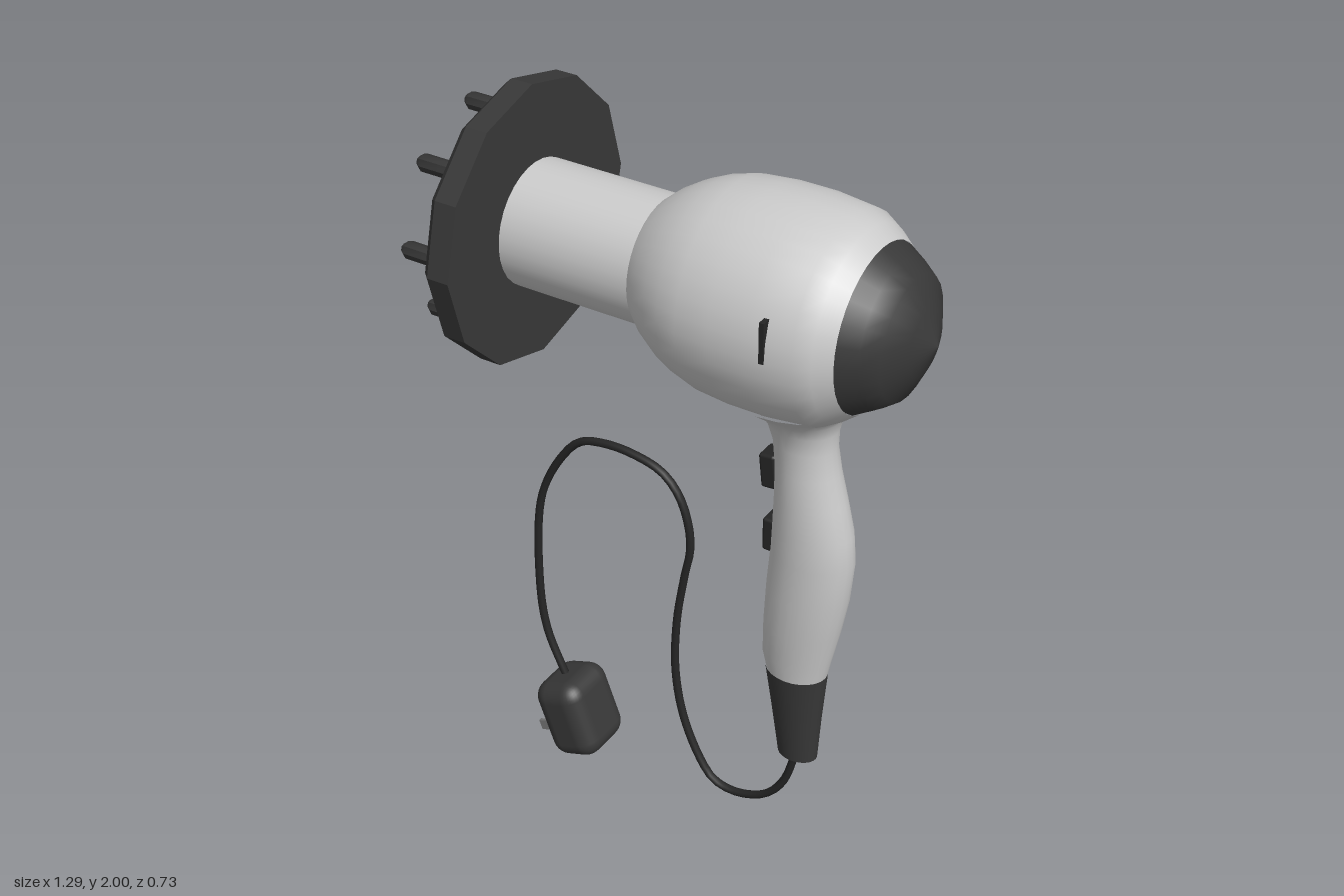
import * as THREE from 'three';
import { toCreasedNormals } from 'three/addons/utils/BufferGeometryUtils.js';
import { RoundedBoxGeometry } from 'three/addons/geometries/RoundedBoxGeometry.js';

const AXIS_Y = 1.64;
const grey = new THREE.MeshStandardMaterial({ color: 0xcccccc });
const dark = new THREE.MeshStandardMaterial({ color: 0x383838 });
const black = new THREE.MeshStandardMaterial({ color: 0x262626 });
const metal = new THREE.MeshStandardMaterial({ color: 0x777777 });

export function createModel() {
  const model = new THREE.Group();
  model.name = 'hairDryer';

  const add = (name, geometry, material, x = 0, y = 0, z = 0, parent = model) => {
    const mesh = new THREE.Mesh(geometry, material);
    mesh.name = name;
    mesh.position.set(x, y, z);
    parent.add(mesh);
    return mesh;
  };

  // Turned part along x; profile is [x, radius] from nozzle to rear
  const turned = (name, profile, material, sides, crease, y = AXIS_Y, z = 0) => {
    const pts = profile.map(([x, r]) => new THREE.Vector2(r, x));
    let geo = new THREE.LatheGeometry(pts, sides);
    geo.rotateZ(-Math.PI / 2);
    if (crease) geo = toCreasedNormals(geo, crease);
    return add(name, geo, material, 0, y, z);
  };

  // Loft of elliptical rings [y, xMin, xMax, halfDepth], listed bottom to top
  const loft = (name, rings, material, sides = 24) => {
    const pos = [], index = [];
    rings.forEach(([y, x0, x1, hz], i) => {
      for (let j = 0; j < sides; j++) {
        const a = (j / sides) * Math.PI * 2;
        pos.push((x0 + x1) / 2 + Math.cos(a) * (x1 - x0) / 2, y, Math.sin(a) * hz);
        if (i === 0) continue;
        const k = (j + 1) % sides, lo = (i - 1) * sides, hi = i * sides;
        index.push(lo + j, hi + j, lo + k, lo + k, hi + j, hi + k);
      }
    });
    // close the bottom
    const c = pos.length / 3;
    const [y, x0, x1] = rings[0];
    pos.push((x0 + x1) / 2, y, 0);
    for (let j = 0; j < sides; j++) index.push(c, j, (j + 1) % sides);
    const geo = new THREE.BufferGeometry();
    geo.setAttribute('position', new THREE.Float32BufferAttribute(pos, 3));
    geo.setIndex(index);
    return add(name, toCreasedNormals(geo, 0.7), material);
  };

  // Housing
  turned('barrel', [[-0.46, 0.162], [-0.085, 0.162]], grey, 32);
  turned('body', [[-0.085, 0.163], [-0.05, 0.193], [0, 0.224], [0.05, 0.246], [0.11, 0.263],
    [0.2, 0.271], [0.3, 0.271], [0.41, 0.26], [0.45, 0.237], [0.49, 0.207]], grey, 36);
  turned('rearCap', [[0.488, 0.207], [0.535, 0.18], [0.575, 0.152], [0.61, 0.082], [0.642, 0]], dark, 24);
  add('sideSlot', new THREE.BoxGeometry(0.012, 0.105, 0.03), black, 0.341, 1.69, 0.255);

  // Diffuser disc with a ring of pins around a central one
  turned('diffuserDisc', [[-0.53, 0], [-0.53, 0.345], [-0.51, 0.364], [-0.45, 0.364], [-0.45, 0]],
    dark, 12, 0.3);
  const pin = (y, z) => turned('diffuserPin',
    [[-0.645, 0], [-0.645, 0.012], [-0.63, 0.023], [-0.52, 0.023]], dark, 8, 0.6, y, z);
  pin(AXIS_Y, 0);
  for (let i = 0; i < 8; i++) {
    const a = (i / 8) * Math.PI * 2;
    pin(AXIS_Y + Math.sin(a) * 0.277, Math.cos(a) * 0.277);
  }

  // Curved handle flaring into the body
  loft('handle', [
    [0.565, 0.227, 0.391, 0.064], [0.62, 0.214, 0.402, 0.07], [0.72, 0.216, 0.424, 0.08],
    [0.83, 0.222, 0.444, 0.084], [0.95, 0.232, 0.455, 0.083], [1.03, 0.235, 0.448, 0.081],
    [1.12, 0.238, 0.427, 0.076], [1.2, 0.238, 0.407, 0.071], [1.27, 0.23, 0.396, 0.067],
    [1.32, 0.213, 0.397, 0.074], [1.355, 0.19, 0.404, 0.093], [1.385, 0.14, 0.425, 0.128],
    [1.42, 0.06, 0.48, 0.17],
  ], grey);
  loft('cordCuff', [[0.29, 0.264, 0.374, 0.04], [0.43, 0.245, 0.382, 0.053],
    [0.572, 0.224, 0.393, 0.067]], dark);

  // Switches on the nozzle side of the handle
  const upper = add('upperSwitch', new RoundedBoxGeometry(0.045, 0.095, 0.062, 2, 0.008), black, 0.226, 1.165, 0);
  upper.rotation.z = 0.1;
  add('lowerSwitch', new RoundedBoxGeometry(0.04, 0.095, 0.062, 2, 0.008), black, 0.234, 0.977, 0);

  // Cord
  const path = [[0.32, 0.31], [0.28, 0.17], [0.23, 0.1], [0.17, 0.066], [0.11, 0.056], [0.06, 0.07],
    [0.02, 0.12], [-0.035, 0.25], [-0.06, 0.4], [-0.055, 0.57], [-0.03, 0.73], [-0.013, 0.82],
    [-0.02, 0.9], [-0.05, 0.98], [-0.1, 1.03], [-0.19, 1.053], [-0.27, 1.053], [-0.34, 1.035],
    [-0.395, 0.98], [-0.475, 0.82], [-0.497, 0.55], [-0.48, 0.37], [-0.415, 0.21]];
  const curve = new THREE.CatmullRomCurve3(path.map(([x, y]) => new THREE.Vector3(x, y, 0)));
  add('cord', new THREE.TubeGeometry(curve, 90, 0.011, 8), black);

  // Plug with two flat prongs
  const plug = new THREE.Group();
  plug.name = 'plug';
  plug.position.set(-0.38, 0.123, 0);
  plug.rotation.z = 0.35;
  model.add(plug);
  add('plugBody', new RoundedBoxGeometry(0.155, 0.235, 0.184, 4, 0.05), dark, 0, 0, 0, plug);
  for (const side of [-1, 1]) {
    add('prong', new THREE.BoxGeometry(0.08, 0.03, 0.01), metal, -0.095, -0.045, side * 0.03, plug);
  }

  return model;
}
